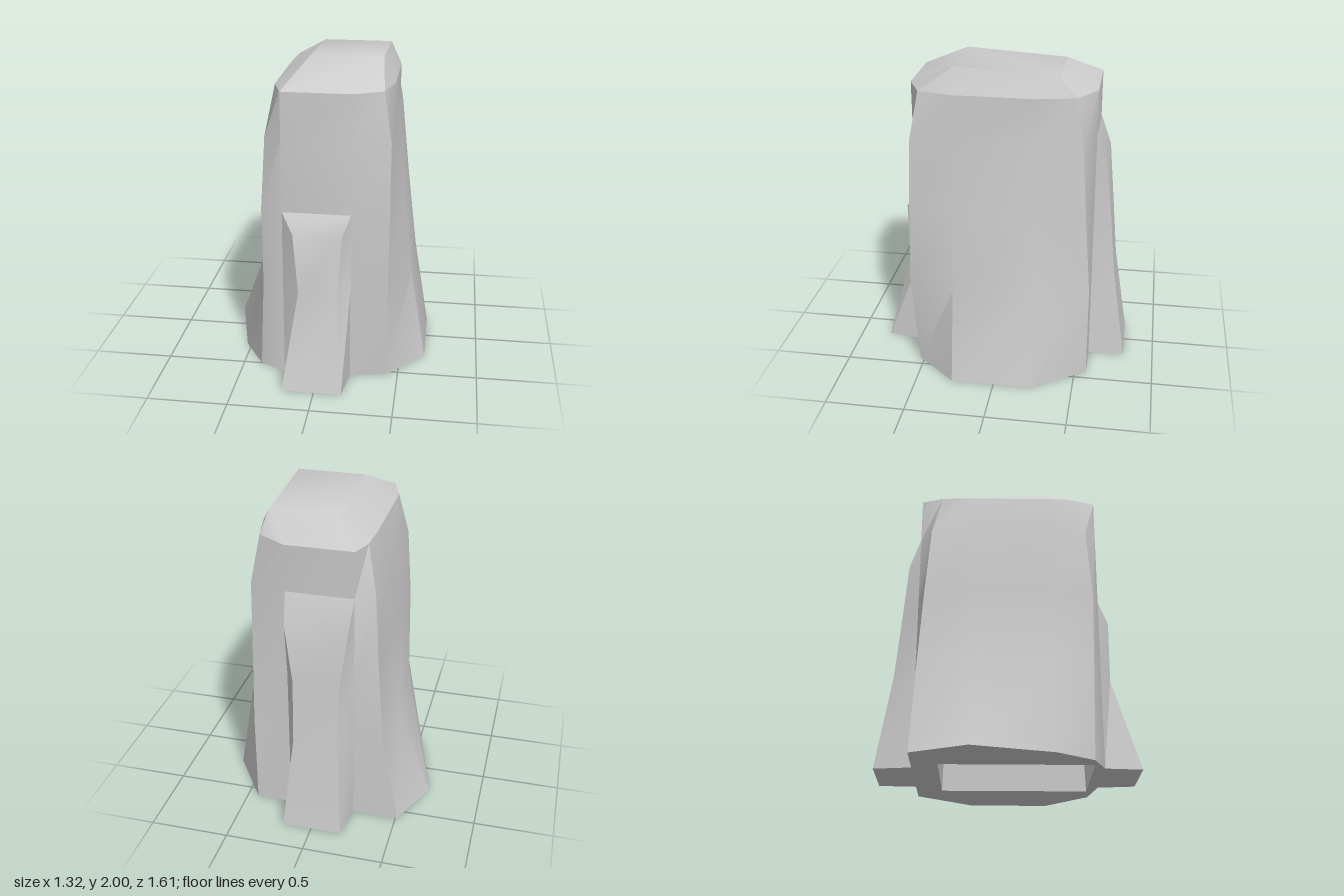
import * as THREE from 'three';
import { toCreasedNormals } from 'three/addons/utils/BufferGeometryUtils.js';

const material = new THREE.MeshStandardMaterial({ color: 0xcccccc });

// Joins rows of points, listed bottom to top, into a skin; skips collapsed faces.
function loft(rows, closed, extra = []) {
  const pos = [];
  const tri = (a, b, c) => {
    const [p, q, r] = [a, b, c].map((v) => new THREE.Vector3(...v));
    if (q.clone().sub(p).cross(r.clone().sub(p)).length() > 1e-6) pos.push(...a, ...b, ...c);
  };
  for (let k = 0; k < rows.length - 1; k++) {
    const n = rows[k].length;
    for (let i = 0; i < (closed ? n : n - 1); i++) {
      const j = (i + 1) % n;
      tri(rows[k][i], rows[k][j], rows[k + 1][j]);
      tri(rows[k][i], rows[k + 1][j], rows[k + 1][i]);
    }
  }
  extra.forEach((t) => tri(...t));
  const g = new THREE.BufferGeometry();
  g.setAttribute('position', new THREE.Float32BufferAttribute(pos, 3));
  return toCreasedNormals(g, 0.55);
}

function add(group, name, geometry) {
  const mesh = new THREE.Mesh(geometry, material);
  mesh.name = name;
  group.add(mesh);
}

export function createModel() {
  const group = new THREE.Group();
  group.name = 'stonePillar';

  // Body: twelve upright edges, each giving x and z at the five levels
  const levels = [0, 0.6, 1.1, 1.55, 1.845];
  const edges = [
    { x: -0.22, z: 0.575 },
    { x: 0.2, z: 0.575 },
    { x: [0.43, 0.43, 0.43, 0.43, 0.38], z: [0.53, 0.575, 0.56, 0.54, 0.49] },
    { x: [0.66, 0.56, 0.5, 0.43, 0.43], z: 0.27 },
    { x: [0.66, 0.56, 0.5, 0.43, 0.43], z: -0.23 },
    { x: [0.43, 0.43, 0.43, 0.43, 0.38], z: [-0.575, -0.575, -0.54, -0.51, -0.46] },
    { x: 0.2, z: -0.575 },
    { x: -0.22, z: -0.575 },
    { x: [-0.51, -0.4, -0.36, -0.33, -0.27], z: [-0.575, -0.555, -0.53, -0.5, -0.44] },
    { x: [-0.66, -0.44, -0.36, -0.34, -0.28], z: -0.23 },
    { x: [-0.53, -0.41, -0.355, -0.34, -0.28], z: 0.27 },
    { x: [-0.385, -0.355, -0.355, -0.33, -0.28], z: [0.5, 0.52, 0.53, 0.5, 0.39] },
  ];
  const at = (v, k) => (Array.isArray(v) ? v[k] : v);
  const rings = levels.map((y, k) => edges.map((e) => [at(e.x, k), y, at(e.z, k)]));
  add(group, 'body', loft(rings, true));

  // Cap: the top ring closes onto four sloping crown corners
  const [fl, fr, br, bl] = [[-0.08, 2, 0.27], [0.355, 2, 0.27], [0.355, 1.96, -0.36], [-0.08, 1.96, -0.36]];
  const crown = [fl, fr, fr, fr, br, br, br, bl, bl, bl, fl, fl];
  add(group, 'cap', loft([rings[4], crown], true, [[fl, fr, br], [fl, br, bl]]));

  // Buttresses: rows of [y, z, first x, last x] for the outer face
  const buttress = (name, rows, xa, xb, zWall) =>
    add(group, name, loft(rows.map(([y, z, a, b]) =>
      [[xa, y, zWall], [a, y, z], [b, y, z], [xb, y, zWall]]), false));
  const front = [[0, 0.805, -0.2, 0.17], [0.6, 0.645, -0.115, 0.125],
    [0.985, 0.645, -0.145, 0.155], [1.1, 0.575, -0.22, 0.2]];
  const back = [[0, -0.805, 0.185, -0.19], [0.6, -0.715, 0.13, -0.15],
    [1, -0.68, 0.135, -0.155], [1.36, -0.645, 0.19, -0.2], [1.55, -0.575, 0.2, -0.22]];
  buttress('frontButtress', front, -0.22, 0.2, 0.575);
  buttress('backButtress', back, 0.2, -0.22, -0.575);

  // Underside with a rectangular opening
  const foot = rings[0].map(([x, , z]) => new THREE.Vector2(x, z));
  const toe = ([, z, a, b]) => [new THREE.Vector2(a, z), new THREE.Vector2(b, z)];
  const outline = [foot[0], ...toe(front[0]), ...foot.slice(1, 7), ...toe(back[0]), ...foot.slice(7)];
  const hole = [[-0.29, 0.51], [-0.29, -0.415], [0.29, -0.415], [0.29, 0.51]];
  const base = new THREE.Shape(outline);
  base.holes.push(new THREE.Path(hole.map(([x, z]) => new THREE.Vector2(x, z))));
  add(group, 'underside', new THREE.ShapeGeometry(base).rotateX(Math.PI / 2));

  // Inner hollow, facing inwards and closed at the top
  const hollow = [[0, 1], [1.55, 0.9], [1.55, 0]].map(([y, s]) => hole.map(([x, z]) => [x * s, y, z * s]));
  add(group, 'hollow', loft(hollow, true));

  return group;
}
